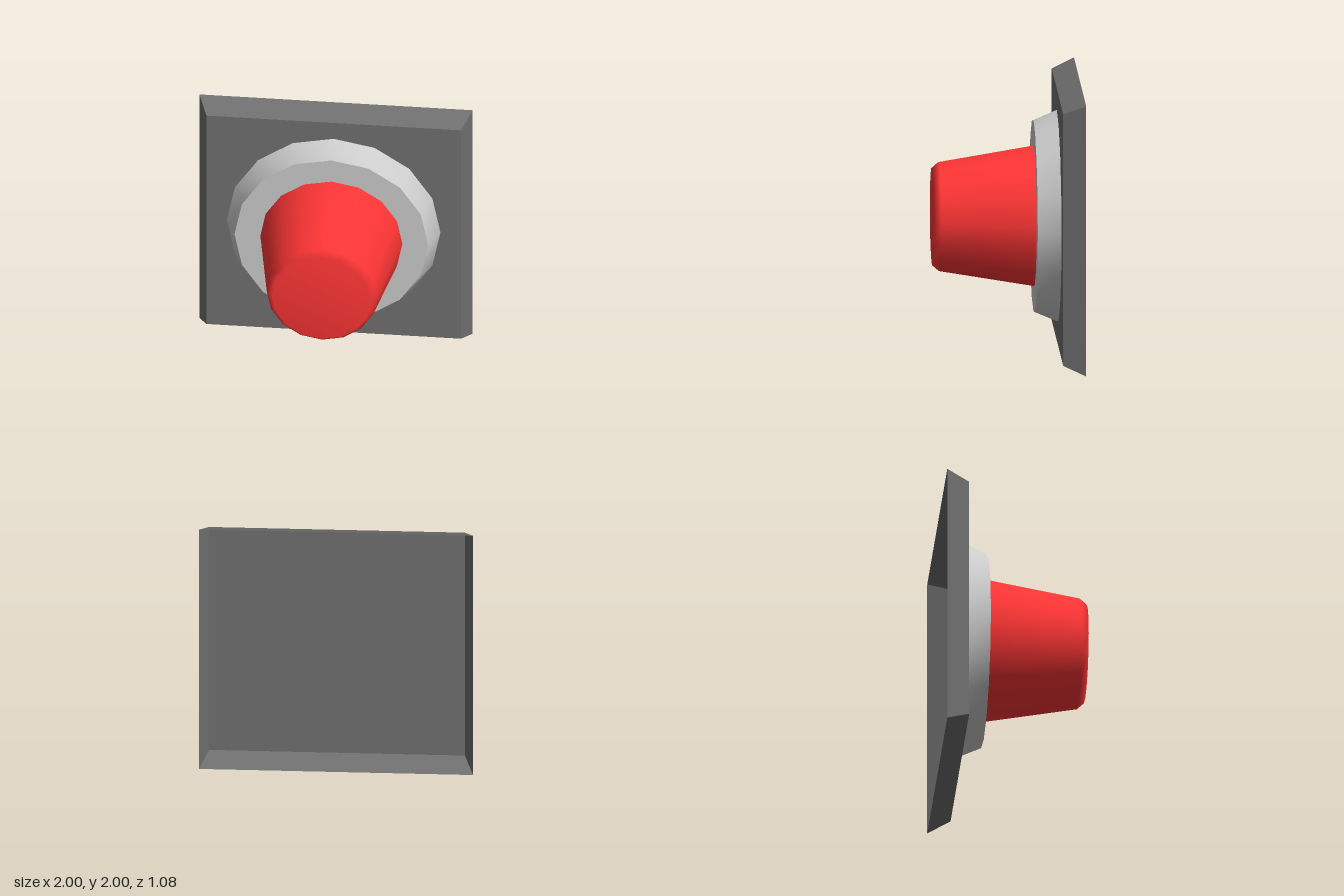
import * as THREE from 'three';
import { toCreasedNormals } from 'three/addons/utils/BufferGeometryUtils.js';

// Turned form around the z axis; profile is [radius, z] from back to front.
function turned(profile, sides, phase = 0) {
  const points = profile.map(([r, z]) => new THREE.Vector2(r, z));
  return new THREE.LatheGeometry(points, sides, phase).rotateX(Math.PI / 2);
}

function part(name, geometry, color, y, options = {}) {
  const material = new THREE.MeshStandardMaterial({ color, side: THREE.DoubleSide, ...options });
  const mesh = new THREE.Mesh(geometry, material);
  mesh.name = name;
  mesh.position.y = y;
  return mesh;
}

export function createModel() {
  const group = new THREE.Group();
  group.name = 'wallButton';
  const corner = Math.SQRT2; // half-width to corner radius of a square
  const centerY = 1.012;

  // Square wall plate: tapered shell, open at the back
  const plate = turned([[corner, -0.54], [0.932 * corner, -0.375], [0, -0.375]], 4, Math.PI / 4);
  group.add(part('wallPlate', plate, 0x707070, 1, { flatShading: true }));

  // Tapered collar with a sharp front edge
  const collar = turned([[0.782, -0.37], [0.709, -0.2], [0.45, -0.2]], 16);
  group.add(part('collar', toCreasedNormals(collar, 0.8), 0xcccccc, centerY));

  // Tapered push button with a softly shaded, bevelled tip
  const button = turned([[0.52, -0.2], [0.404, 0.49], [0.36, 0.54], [0, 0.54]], 16);
  group.add(part('pushButton', button, 0xff3535, centerY));

  return group;
}
